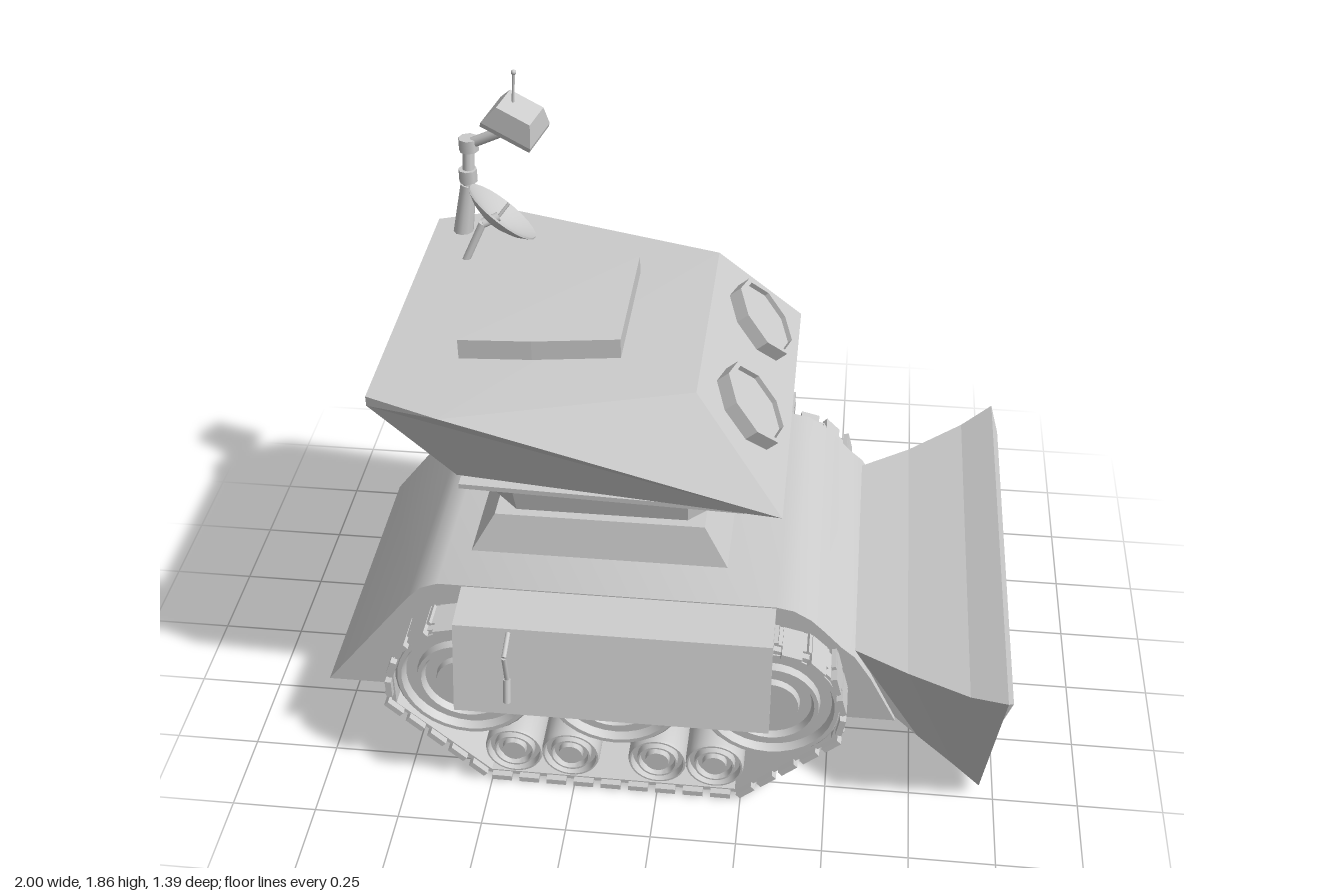
import * as THREE from 'three';
import { toCreasedNormals } from 'three/addons/utils/BufferGeometryUtils.js';

const material = new THREE.MeshStandardMaterial({ color: 0xcccccc, side: THREE.DoubleSide });
const V = (x, y, z) => new THREE.Vector3(x, y, z);

function add(parent, name, geometry) {
  const mesh = new THREE.Mesh(geometry, material);
  mesh.name = name;
  parent.add(mesh);
  return mesh;
}

// Flat-shaded geometry from polygons, each a convex list of corners
function polygons(faces) {
  const points = [];
  for (const f of faces)
    for (let i = 1; i < f.length - 1; i++) points.push(f[0], f[i], f[i + 1]);
  const g = new THREE.BufferGeometry().setFromPoints(points);
  g.computeVertexNormals();
  return g;
}

// Skin a series of closed rings, capping both ends
function loft(rings) {
  const faces = [[...rings[0]].reverse(), rings[rings.length - 1]];
  for (let r = 0; r < rings.length - 1; r++) {
    const a = rings[r], b = rings[r + 1];
    a.forEach((p, i) => {
      const j = (i + 1) % a.length;
      faces.push([p, a[j], b[j], b[i]]);
    });
  }
  return polygons(faces);
}

// Rectangular horizontal ring with optional cut corners
function ring(y, x0, x1, z, c = 0) {
  if (!c) return [V(x0, y, z), V(x1, y, z), V(x1, y, -z), V(x0, y, -z)];
  return [V(x0, y, z - c), V(x0 + c, y, z), V(x1 - c, y, z), V(x1, y, z - c),
    V(x1, y, c - z), V(x1 - c, y, -z), V(x0 + c, y, -z), V(x0, y, c - z)];
}

// Rod between two points
function rod(parent, name, a, b, r, r2 = r, sides = 10) {
  const d = b.clone().sub(a);
  const m = add(parent, name, new THREE.CylinderGeometry(r2, r, d.length(), sides));
  m.position.copy(a).add(b).multiplyScalar(0.5);
  m.quaternion.setFromUnitVectors(V(0, 1, 0), d.normalize());
  return m;
}

const shapeOf = pts => new THREE.Shape(pts.map(p => new THREE.Vector2(...p)));
const extrude = (shape, depth) =>
  new THREE.ExtrudeGeometry(shape, { depth, bevelEnabled: false });

function buildHull(g) {
  const profile = [[-1, 0.27], [0.69, 0.27], [0.61, 0.43], [0.56, 0.51], [0.52, 0.545], [0.47, 0.6],
    [0.43, 0.64], [0.38, 0.67], [0.33, 0.68], [-0.64, 0.68], [-0.69, 0.66], [-0.73, 0.62]];
  add(g, 'hull', toCreasedNormals(extrude(shapeOf(profile), 0.93).translate(0, 0, -0.465), 0.5));

  // Scoop: each row is top x, y, z then bottom x, y, z
  const rows = [[0.56, 0.51, 0.435, 0.69, 0.27, 0.45], [0.71, 0.52, 0.525, 0.76, 0.21, 0.46],
    [0.88, 0.553, 0.635, 0.87, 0.12, 0.475], [0.977, 0.595, 0.695, 0.955, 0.05, 0.49],
    [1, 0.535, 0.63, 0.972, 0.11, 0.39], [0.72, 0.46, 0.235, 0.72, 0.265, 0.235]];
  add(g, 'scoop', loft(rows.map(([a, b, c, d, e, f]) =>
    [V(a, b, -c), V(a, b, c), V(d, e, f), V(d, e, -f)])));

  add(g, 'pedestal', loft([ring(0.68, -0.57, 0.18, 0.31), ring(0.8, -0.5, 0.11, 0.28)]));
  add(g, 'turntableBase', new THREE.CylinderGeometry(0.23, 0.23, 0.03, 32)).position.set(-0.2, 0.815, 0);
  add(g, 'turntable', new THREE.CylinderGeometry(0.193, 0.193, 0.04, 32)).position.set(-0.2, 0.845, 0);

  // Side skirts, splayed outward
  for (const s of [1, -1]) {
    const pts = [[0.44, 0.675], [0.47, 0.677], [0.612, 0.655], [0.68, 0.39], [0.66, 0.39],
      [0.6, 0.635], [0.46, 0.655]].map(([z, y]) => [s * z - 0.008, y]);
    add(g, 'sideSkirt', extrude(shapeOf(pts), 0.9).rotateY(-Math.PI / 2).translate(0.33, 0, 0));
  }
  rod(g, 'leverBracket', V(-0.41, 0.645, 0.61), V(-0.41, 0.62, 0.685), 0.007);
  rod(g, 'leverRod', V(-0.41, 0.62, 0.685), V(-0.41, 0.52, 0.665), 0.007);
  rod(g, 'leverGrip', V(-0.41, 0.52, 0.665), V(-0.41, 0.45, 0.685), 0.011);
}

// Stepped wheel facing +z or -z
function wheel(parent, name, x, y, z, r, width, s) {
  const h = width / 2;
  const steps = [[0, -h], [0.96, -h], [1, -h + 0.01], [1, h - 0.01], [0.96, h], [0.9, h], [0.86, h - 0.025],
    [0.7, h - 0.025], [0.68, h], [0.62, h], [0.58, h - 0.02], [0.42, h - 0.02], [0.4, h], [0, h]];
  const lathe = new THREE.LatheGeometry(steps.map(([k, d]) => new THREE.Vector2(k * r, d)), 32);
  const m = add(parent, name, toCreasedNormals(lathe.rotateX(s * Math.PI / 2), 0.4));
  m.position.set(x, y, z);
}

function buildTrack(g, s) {
  const track = new THREE.Group();
  track.name = s > 0 ? 'frontTrack' : 'backTrack';
  g.add(track);
  for (const x of [-0.56, -0.125, 0.325]) wheel(track, 'roadWheel', x, 0.39, s * 0.475, 0.208, 0.175, s);
  for (const x of [-0.43, -0.26, 0, 0.17]) wheel(track, 'smallRoller', x, 0.122, s * 0.475, 0.087, 0.175, s);

  // Closed belt with separate tread links
  const path = [[-0.51, 0.02], [0.24, 0.016], [0.52, 0.27], [0.54, 0.38], [0.51, 0.5], [0.43, 0.58], [0.32, 0.608],
    [-0.56, 0.608], [-0.66, 0.585], [-0.745, 0.51], [-0.785, 0.4], [-0.785, 0.285]];
  const curve = new THREE.CurvePath();
  path.forEach((p, i) => curve.add(new THREE.LineCurve(
    new THREE.Vector2(...p), new THREE.Vector2(...path[(i + 1) % path.length]))));
  const belt = shapeOf(path);
  belt.holes.push(new THREE.Path(path.map(([x, y]) =>
    new THREE.Vector2(-0.125 + (x + 0.125) * 0.98, 0.31 + (y - 0.31) * 0.955))));
  add(track, 'trackBelt', extrude(belt, 0.17).translate(0, 0, s * 0.475 - 0.085));
  const count = 40, pitch = curve.getLength() / count;
  for (let i = 0; i < count; i++) {
    const u = (i + 0.5) / count, p = curve.getPointAt(u), t = curve.getTangentAt(u);
    const link = new THREE.Group();
    link.name = 'trackLink';
    add(link, 'treadPlate', new THREE.BoxGeometry(pitch * 0.72, 0.018, 0.21));
    add(link, 'linkJoint', new THREE.BoxGeometry(pitch, 0.014, 0.13));
    link.position.set(p.x, p.y, s * 0.475);
    link.rotation.z = Math.atan2(t.y, t.x);
    track.add(link);
  }
}

function buildHead(g) {
  add(g, 'neck', loft([ring(0.86, -0.495, 0.135, 0.325, 0.07), ring(0.97, -0.505, 0.14, 0.345, 0.07)]));
  const tilt = r => r.map(p => V(p.x, p.y - 0.03 * (p.x + 0.17), p.z));
  add(g, 'collar', loft([ring(0.965, -0.53, 0.19, 0.38), ring(0.995, -0.56, 0.23, 0.43),
    ring(1.01, -0.56, 0.23, 0.43)].map(tilt)));

  // Wedge-shaped cabin, built from one side and mirrored
  const [t0, t1, t2, r1, b1, b0, r0] = [V(-0.78, 1.33, 0.47), V(-0.57, 1.33, 0.55), V(0.09, 1.33, 0.36),
    V(0.337, 1.037, 0.505), V(0.2, 1, 0.43), V(-0.57, 1.03, 0.4), V(-0.78, 1.3, 0.47)];
  const mir = p => V(p.x, p.y, -p.z);
  const side = [[t0, r0, t1], [t1, r0, r1], [t1, r1, t2], [r0, b0, r1], [b0, b1, r1]];
  const outline = [t0, t1, t2, r1, b1, b0, r0];
  add(g, 'cabin', polygons([...side, ...side.map(f => f.map(mir).reverse()),
    ...outline.map((a, i) => {
      const b = outline[(i + 1) % outline.length];
      return [a, b, mir(b), mir(a)];
    })]));

  // Roof hatch, narrowing toward the windscreen
  const hatch = y => [V(-0.57, y, 0.268), V(-0.37, y, 0.255), V(-0.13, y, 0.22),
    V(-0.13, y, -0.22), V(-0.37, y, -0.255), V(-0.57, y, -0.268)];
  add(g, 'roofHatch', loft([hatch(1.32), hatch(1.39)]));

  // Octagonal lamps on the sloping face
  for (const z of [0.215, -0.22]) {
    const lamp = new THREE.Group();
    lamp.name = 'headlamp';
    const oct = r => Array.from({ length: 8 }, (_, i) =>
      [r * Math.cos((i + 0.5) * Math.PI / 4), r * Math.sin((i + 0.5) * Math.PI / 4)]);
    const rim = shapeOf(oct(0.128));
    rim.holes.push(new THREE.Path(oct(0.113).map(p => new THREE.Vector2(...p))));
    add(lamp, 'lampRim', extrude(rim, 0.06).translate(0, 0, -0.02));
    add(lamp, 'lampGlass', extrude(shapeOf(oct(0.114)), 0.045).translate(0, 0, -0.02));
    lamp.position.set(0.217, 1.182, z);
    lamp.quaternion.setFromUnitVectors(V(0, 0, 1), V(0.767, 0.642, 0).normalize());
    lamp.rotateZ(Math.PI / 8);
    g.add(lamp);
  }
}

function buildAntennas(g) {
  // Dish on a small forked stand
  const n = V(0.6, 0.75, -0.27).normalize(), c = V(-0.555, 1.455, -0.29);
  const profile = [[0, -0.025], [0.05, -0.02], [0.09, -0.005], [0.122, 0.016], [0.12, 0.021],
    [0.085, 0.004], [0.045, -0.01], [0, -0.014]].map(p => new THREE.Vector2(...p));
  const dish = add(g, 'dish', toCreasedNormals(new THREE.LatheGeometry(profile, 24), 0.6));
  dish.position.copy(c);
  dish.quaternion.setFromUnitVectors(V(0, 1, 0), n);
  const hub = V(-0.6, 1.44, -0.27);
  rod(g, 'dishStrut', V(-0.655, 1.32, -0.25), hub, 0.012);
  rod(g, 'dishMount', hub, c, 0.014);
  rod(g, 'dishFeed', c, c.clone().addScaledVector(n, 0.05), 0.005);

  // Jointed mast
  const a = V(-0.695, 1.31, -0.41), b = V(-0.67, 1.48, -0.425), d = V(-0.665, 1.605, -0.445), e = V(-0.49, 1.695, -0.42);
  rod(g, 'mastBase', a, b, 0.031, 0.024);
  rod(g, 'mastLower', b, d, 0.018);
  rod(g, 'mastUpper', d, e, 0.016);
  for (const [p, r] of [[V(-0.67, 1.51, -0.43), 0.028], [d, 0.03]])
    rod(g, 'mastJoint', V(p.x, p.y - 0.02, p.z), V(p.x, p.y + 0.02, p.z), r, r, 8);
  const sensor = add(g, 'sensorHead', loft([ring(-0.035, -0.082, 0.082, 0.065),
    ring(-0.02, -0.082, 0.082, 0.065), ring(0.045, -0.055, 0.055, 0.045)]));
  sensor.position.set(-0.51, 1.712, -0.415);
  sensor.rotation.set(0.2, -0.3, -0.32);
  rod(g, 'whip', V(-0.52, 1.74, -0.415), V(-0.512, 1.85, -0.418), 0.004);
  add(g, 'whipTip', new THREE.SphereGeometry(0.008, 10, 8)).position.set(-0.512, 1.855, -0.418);
}

export function createModel() {
  const model = new THREE.Group();
  model.name = 'trackedVehicle';
  buildHull(model);
  buildTrack(model, 1);
  buildTrack(model, -1);
  buildHead(model);
  buildAntennas(model);
  return model;
}
